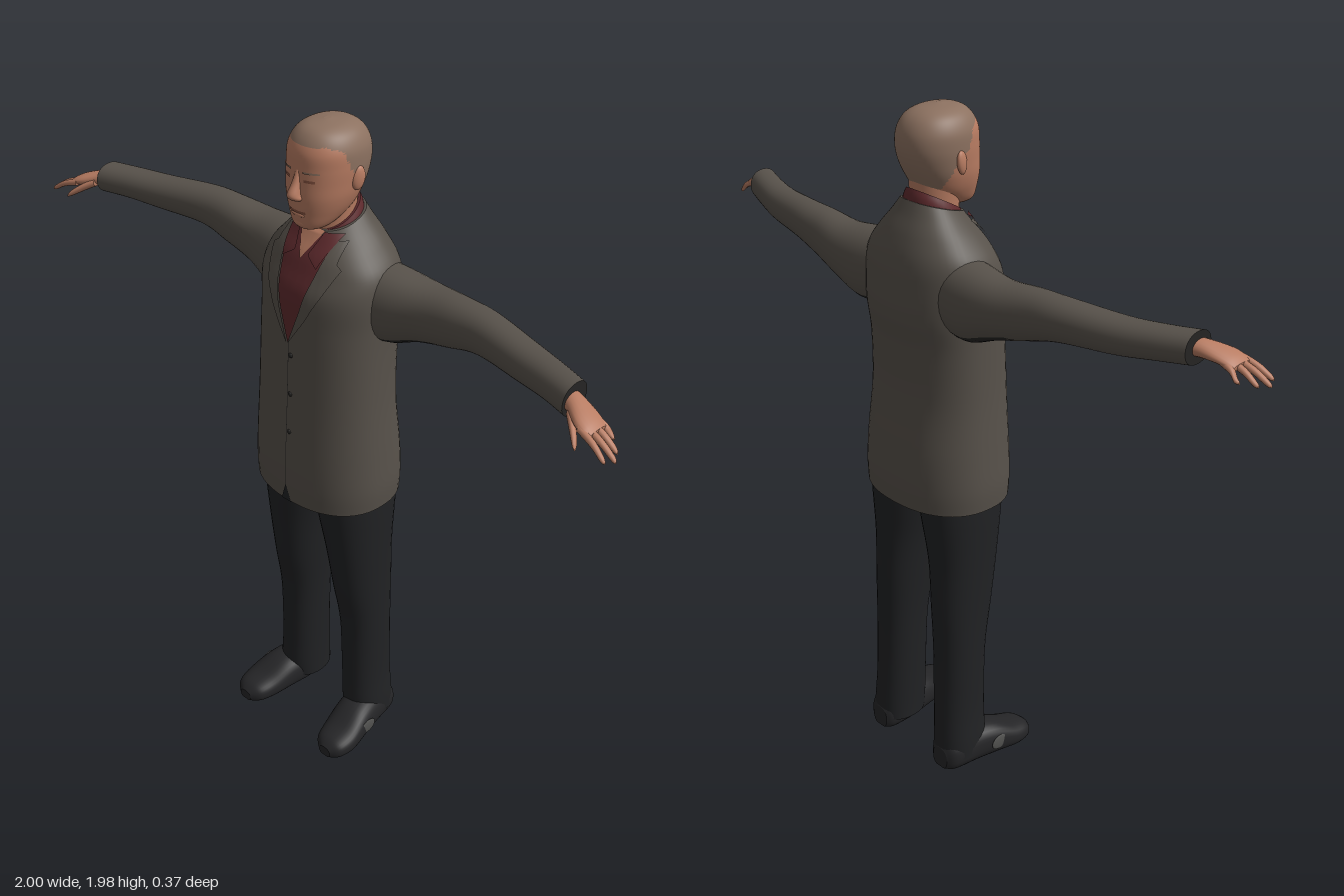
import * as THREE from 'three';

const mat = (name, color) => Object.assign(new THREE.MeshStandardMaterial({ color }), { name });

// Smooth closed loft. Section: [cx, cy, cz, ra, rb, tilt]; rings lie across the given axis.
// pick(x, y, z, angle) chooses the material of a face when several are given.
function loft(name, axis, sections, mats, { n = 2, seg = 32, sub = 6, pick = () => 0 } = {}) {
  const get = (i) => sections[Math.max(0, Math.min(sections.length - 1, i))];
  const mix = (i, t) => get(i).map((_, k) => {
    const [a, b, c, d] = [get(i - 1)[k], get(i)[k], get(i + 1)[k], get(i + 2)[k]];
    const v = 0.5 * (2 * b + (c - a) * t + (2 * a - 5 * b + 4 * c - d) * t * t + (3 * b - a - 3 * c + d) * t ** 3);
    return Math.min(Math.max(v, Math.min(b, c) - 0.01), Math.max(b, c) + 0.01);
  });
  const rows = [];
  for (let i = 0; i < sections.length - 1; i++) for (let j = 0; j < sub; j++) rows.push(mix(i, j / sub));
  rows.push(get(sections.length - 1));
  const se = (v) => Math.sign(v) * Math.abs(v) ** (2 / n);
  const pos = [];
  const ring = ([cx, cy, cz, ra, rb, tilt = 0]) => {
    for (let k = 0; k < seg; k++) {
      const a = (k / seg) * Math.PI * 2, c = se(Math.cos(a)) * ra, s = se(Math.sin(a)) * rb;
      const p = axis === 'x' ? [cx, cy + c, cz + s] : axis === 'y' ? [cx + c, cy - tilt * s, cz + s] : [cx + c, cy + s, cz];
      pos.push(p[0], Math.max(0, p[1]), p[2]);
    }
  };
  rows.forEach(ring);
  const tris = [];
  for (let r = 0; r < rows.length - 1; r++) for (let k = 0; k < seg; k++) {
    const a = r * seg + k, b = r * seg + (k + 1) % seg, ang = (k + 0.5) / seg;
    tris.push([a, a + seg, b, ang], [b, a + seg, b + seg, ang]);
  }
  // end caps with their own vertices, so the rims stay crisp
  [rows[0], rows[rows.length - 1]].forEach((row, e) => {
    const base = pos.length / 3;
    ring(row);
    pos.push(row[0], Math.max(0, row[1]), row[2]);
    for (let k = 0; k < seg; k++) {
      const a = base + k, b = base + (k + 1) % seg;
      tris.push(e ? [a, base + seg, b, 0.5] : [a, b, base + seg, 0.5]);
    }
  });
  const P = (i) => new THREE.Vector3().fromArray(pos, i * 3);
  const o = new THREE.Vector3(...rows[0].slice(0, 3));
  let vol = 0;
  const parts = mats.map(() => []);
  for (const [a, b, c, ang] of tris) {
    const [p, q, r] = [P(a).sub(o), P(b).sub(o), P(c).sub(o)];
    vol += p.clone().dot(q.clone().cross(r));
    const m = p.add(q).add(r).divideScalar(3).add(o);
    parts[pick(m.x, m.y, m.z, ang)].push([a, b, c]);
  }
  const g = new THREE.BufferGeometry();
  g.setAttribute('position', new THREE.Float32BufferAttribute(pos, 3));
  const index = [];
  parts.forEach((list, i) => {
    g.addGroup(index.length, list.length * 3, i);
    list.forEach(([a, b, c]) => (vol < 0 ? index.push(a, c, b) : index.push(a, b, c)));
  });
  g.setIndex(index);
  g.computeVertexNormals();
  const mesh = new THREE.Mesh(g, mats.length > 1 ? mats : mats[0]);
  mesh.name = name;
  return mesh;
}

// Thin sheet laid on the front of the target meshes, between two edge functions of y.
function sheet(name, targets, y0, y1, left, right, lift, material, rows = 14, cols = 10) {
  const ray = new THREE.Raycaster(), pos = [], index = [], back = new THREE.Vector3(0, 0, -1);
  let z = 0;
  for (let r = 0; r <= rows; r++) for (let c = 0; c <= cols; c++) {
    const y = y0 + (y1 - y0) * r / rows, x = left(y) + (right(y) - left(y)) * c / cols;
    ray.set(new THREE.Vector3(x, y, 1), back);
    const hit = ray.intersectObjects(targets)[0];
    if (hit) z = hit.point.z;
    pos.push(x, y, z + lift);
    if (r < rows && c < cols) {
      const a = r * (cols + 1) + c, b = a + cols + 1;
      index.push(a, a + 1, b, a + 1, b + 1, b);
    }
  }
  const g = new THREE.BufferGeometry();
  g.setAttribute('position', new THREE.Float32BufferAttribute(pos, 3));
  g.setIndex(index);
  g.computeVertexNormals();
  const mesh = new THREE.Mesh(g, material);
  mesh.name = name;
  return mesh;
}

// Piecewise linear lookup through [key, value] points
const lerpAt = (pts) => (v) => {
  let i = 0;
  while (i < pts.length - 2 && v > pts[i + 1][0]) i++;
  const [[a, p], [b, q]] = [pts[i], pts[i + 1]];
  return p + (q - p) * Math.min(1, Math.max(0, (v - a) / (b - a)));
};

function ellipsoid(name, p, s, material) {
  const m = new THREE.Mesh(new THREE.SphereGeometry(1, 20, 14), material);
  m.name = name;
  m.position.set(...p);
  m.scale.set(...s);
  return m;
}

export function createModel() {
  const model = new THREE.Group();
  model.name = 'standingMan';
  const jacket = mat('jacketCloth', 0x57514a), lining = mat('darkLining', 0x262524), trouser = mat('trouserCloth', 0x212224);
  const shirt = mat('shirtCloth', 0x5e2a2d), skin = mat('skin', 0xb87c62), hair = mat('croppedHair', 0x8c7160);
  const shade = mat('faceDetail', 0x85523f), leather = mat('shoeLeather', 0x252527), panel = mat('shoePanel', 0x525250);
  const add = (...m) => model.add(...m);

  // jacket body
  const torso = loft('jacketBody', 'y', [
    [0, 0.885, -0.015, 0.213, 0.168, 0], [0, 0.95, -0.015, 0.216, 0.17, 0], [0, 1.05, -0.014, 0.21, 0.167, 0],
    [0, 1.2, -0.01, 0.2, 0.155, 0], [0, 1.35, -0.015, 0.196, 0.153, 0], [0, 1.45, -0.025, 0.196, 0.158, 0],
    [0, 1.54, -0.028, 0.198, 0.152, 0], [0, 1.6, -0.035, 0.186, 0.135, 0.03], [0, 1.65, -0.035, 0.147, 0.115, 0.1],
    [0, 1.69, -0.035, 0.108, 0.092, 0.2], [0, 1.72, -0.035, 0.082, 0.076, 0.3],
  ], [jacket, lining], { n: 2.3, seg: 48, pick: (x, y) => (y < 0.8855 ? 1 : 0) });

  // neck and shirt collar
  const neck = loft('neck', 'y', [[0, 1.62, -0.02, 0.062, 0.058], [0, 1.72, -0.025, 0.063, 0.066], [0, 1.8, -0.02, 0.07, 0.075]], [skin]);
  const collar = loft('shirtCollar', 'y', [
    [0, 1.67, -0.03, 0.086, 0.084, 0.5], [0, 1.71, -0.03, 0.079, 0.078, 0.55], [0, 1.733, -0.029, 0.07, 0.072, 0.55],
  ], [shirt]);
  add(torso, neck, collar);

  // shirt front, open neck, lapels, collar points
  const vEdge = lerpAt([[1.4, 0.002], [1.5, 0.036], [1.6, 0.06], [1.69, 0.078]]);
  const lapelEdge = lerpAt([[1.4, 0.004], [1.48, 0.055], [1.56, 0.095], [1.63, 0.122], [1.632, 0.105], [1.69, 0.098]]);
  const body = [torso, collar];
  add(sheet('shirtFront', body, 1.4, 1.69, (y) => -vEdge(y), vEdge, 0.004, shirt, 20));
  const skinEdge = lerpAt([[1.63, 0.001], [1.7, 0.04]]);
  add(sheet('openNeck', body, 1.63, 1.7, (y) => -skinEdge(y), skinEdge, 0.007, skin));
  const flapIn = lerpAt([[1.62, 0.058], [1.645, 0.022], [1.7, 0.042]]), flapOut = lerpAt([[1.62, 0.06], [1.7, 0.086]]);
  for (const s of [1, -1]) {
    const pair = (a, b) => (s > 0 ? [a, b] : [(y) => -b(y), (y) => -a(y)]);
    add(sheet('lapel', [torso], 1.4, 1.685, ...pair(vEdge, lapelEdge), 0.008, jacket, 24));
    add(sheet('collarPoint', body, 1.62, 1.7, ...pair(flapIn, flapOut), 0.011, shirt));
  }

  // jacket front opening and buttons
  add(sheet('frontSeam', [torso], 0.94, 1.4, () => -0.001, () => 0.001, 0.002, lining, 20, 1));
  const notch = lerpAt([[0.885, 0.018], [0.94, 0.001]]);
  add(sheet('hemNotch', [torso], 0.886, 0.94, (y) => -notch(y), notch, 0.003, trouser));
  for (const y of [1.12, 1.24, 1.36]) add(ellipsoid('button', [0.008, y, 0.143 + (y < 1.2 ? 0.006 : 0) - (y > 1.3 ? 0.004 : 0)], [0.007, 0.007, 0.004], lining));

  // head with cropped hair
  const hairline = lerpAt([[-0.06, 1.775], [-0.03, 1.85], [0.005, 1.875], [0.025, 1.925], [0.06, 1.94], [0.1, 1.935]]);
  const head = loft('head', 'y', [
    [0, 1.708, 0.052, 0.02, 0.024], [0, 1.722, 0.04, 0.05, 0.054], [0, 1.76, 0.014, 0.074, 0.086], [0, 1.8, 0.001, 0.088, 0.102],
    [0, 1.84, -0.01, 0.094, 0.111], [0, 1.88, -0.016, 0.097, 0.114], [0, 1.92, -0.016, 0.094, 0.109],
    [0, 1.953, -0.015, 0.077, 0.09], [0, 1.972, -0.012, 0.048, 0.06], [0, 1.98, -0.01, 0.008, 0.01],
  ], [skin, hair], { n: 2.15, seg: 64, sub: 8, pick: (x, y, z) => (y > hairline(z) ? 1 : 0) });
  add(head);
  add(loft('nose', 'y', [
    [0, 1.878, 0.088, 0.008, 0.01], [0, 1.845, 0.1, 0.011, 0.014], [0, 1.818, 0.11, 0.016, 0.02],
    [0, 1.804, 0.105, 0.019, 0.018], [0, 1.795, 0.098, 0.012, 0.008],
  ], [skin], { seg: 20 }));
  add(sheet('mouth', [head], 1.762, 1.769, () => -0.027, () => 0.027, 0.002, shade, 3));
  add(ellipsoid('lowerLip', [0, 1.756, 0.096], [0.023, 0.006, 0.006], skin));
  add(ellipsoid('chin', [0, 1.731, 0.084], [0.026, 0.015, 0.014], skin));
  for (const s of [1, -1]) {
    add(sheet('eye', [head], 1.85, 1.857, () => s * 0.037 - 0.014, () => s * 0.037 + 0.014, 0.002, shade, 3));
    add(sheet('eyebrow', [head], 1.873, 1.878, () => s * 0.04 - 0.02, () => s * 0.04 + 0.02, 0.003, hair, 3));
    const ear = ellipsoid('ear', [s * 0.096, 1.846, -0.02], [0.01, 0.032, 0.019], skin);
    ear.rotation.set(-0.15, s * -0.3, 0);
    add(ear);
  }

  for (const s of [1, -1]) {
    const side = (list) => list.map(([x, ...r]) => [s * x, ...r]);

    // sleeve, dark on the underarm
    add(loft('sleeve', 'x', side([
      [0.1, 1.52, -0.05, 0.1, 0.09], [0.2, 1.508, -0.062, 0.103, 0.088], [0.3, 1.522, -0.07, 0.08, 0.074],
      [0.4, 1.539, -0.063, 0.069, 0.062], [0.5, 1.552, -0.055, 0.056, 0.056], [0.65, 1.551, -0.022, 0.048, 0.052],
      [0.75, 1.556, 0.008, 0.044, 0.049], [0.83, 1.56, 0.038, 0.043, 0.048],
    ]), [jacket, lining], { n: 2.2, pick: (x, y, z, a) => (Math.abs(x) > 0.829 || (Math.abs(x) < 0.36 && a > 0.36 && a < 0.64) ? 1 : 0) }));

    // hand
    add(loft('palm', 'x', side([
      [0.8, 1.56, 0.035, 0.024, 0.028], [0.84, 1.558, 0.05, 0.022, 0.031], [0.88, 1.55, 0.068, 0.018, 0.04],
      [0.91, 1.541, 0.077, 0.014, 0.04], [0.928, 1.534, 0.08, 0.008, 0.034],
    ]), [skin], { seg: 20 }));
    const fingers = [[0.046, 0.95, 1.508, 0.043], [0.067, 0.982, 1.5, 0.074], [0.087, 0.998, 1.497, 0.102], [0.106, 0.985, 1.502, 0.127]];
    for (const [z, tx, ty, tz] of fingers) {
      const mx = (0.9 + tx) / 2;
      add(loft('finger', 'x', side([
        [0.895, 1.543, z, 0.01, 0.01], [mx, (1.545 + ty) / 2 + 0.004, (z + tz) / 2, 0.009, 0.0095],
        [tx - 0.01, ty + 0.006, tz - 0.002, 0.0075, 0.0075], [tx, ty, tz, 0.003, 0.003],
      ]), [skin], { seg: 12, sub: 4 }));
    }
    add(loft('thumb', 'x', side([
      [0.845, 1.55, 0.075, 0.012, 0.014], [0.872, 1.535, 0.1, 0.012, 0.013], [0.9, 1.515, 0.126, 0.009, 0.01], [0.909, 1.506, 0.135, 0.003, 0.004],
    ]), [skin], { seg: 12, sub: 4 }));

    // trouser leg
    add(loft('trouserLeg', 'y', side([
      [0.135, 0.035, -0.055, 0.068, 0.08], [0.134, 0.09, -0.052, 0.067, 0.082], [0.129, 0.2, -0.05, 0.064, 0.08],
      [0.125, 0.4, -0.046, 0.067, 0.081], [0.12, 0.55, -0.035, 0.073, 0.095], [0.114, 0.7, -0.025, 0.082, 0.106],
      [0.102, 0.86, -0.022, 0.098, 0.124], [0.098, 0.98, -0.02, 0.1, 0.13],
    ]), [trouser], { n: 2.2 }));

    // shoe with a side panel
    add(loft('shoe', 'z', side([
      [0.137, 0.032, -0.135, 0.03, 0.036], [0.14, 0.042, -0.11, 0.052, 0.054], [0.146, 0.047, -0.03, 0.062, 0.06],
      [0.158, 0.043, 0.04, 0.064, 0.056], [0.17, 0.028, 0.11, 0.063, 0.04], [0.174, 0.022, 0.16, 0.05, 0.03], [0.175, 0.016, 0.184, 0.022, 0.018],
    ]), [leather], { n: 2.4 }));
    add(ellipsoid('shoePanel', [s * 0.22, 0.048, 0.035], [0.0045, 0.024, 0.03], panel));
  }
  return model;
}
